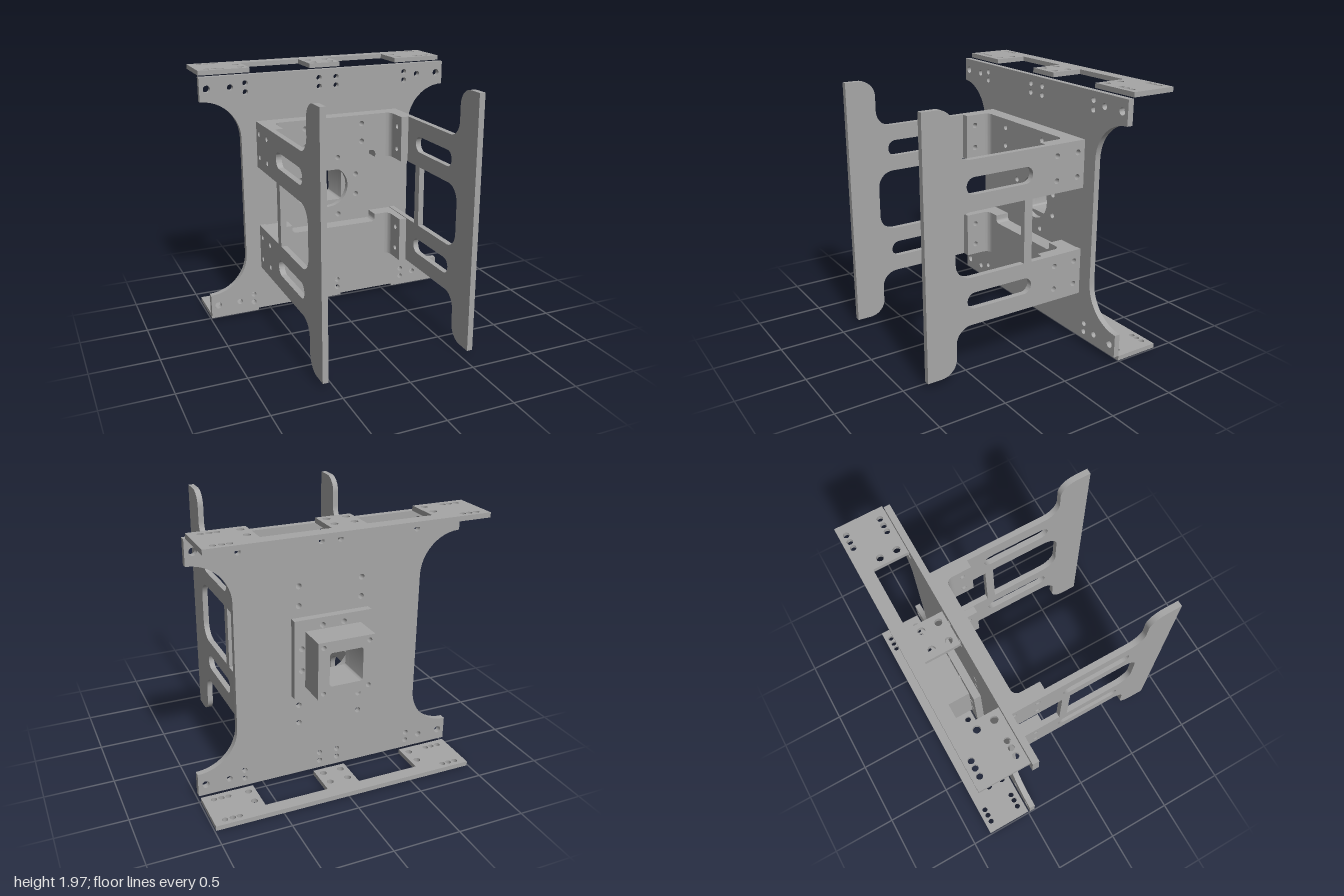
import * as THREE from 'three';
import { toCreasedNormals } from 'three/addons/utils/BufferGeometryUtils.js';

const MID = 0.985; // height of the horizontal symmetry plane
const grey = new THREE.MeshStandardMaterial({ color: 0xa6a6a6 });
grey.name = 'machined grey';

// Traces a polygon of [x, y, radius?] corners; right-angled corners may be rounded.
function trace(path, pts) {
  const n = pts.length, k = 0.4477;
  pts.forEach(([x, y, r = 0], i) => {
    const toward = (q) => {
      const l = Math.hypot(q[0] - x, q[1] - y);
      return [(q[0] - x) / l, (q[1] - y) / l];
    };
    const a = toward(pts[(i + n - 1) % n]), b = toward(pts[(i + 1) % n]);
    const sx = x + a[0] * r, sy = y + a[1] * r;
    if (i === 0) path.moveTo(sx, sy); else path.lineTo(sx, sy);
    if (r) path.bezierCurveTo(x + a[0] * r * k, y + a[1] * r * k,
      x + b[0] * r * k, y + b[1] * r * k, x + b[0] * r, y + b[1] * r);
  });
  path.closePath();
  return path;
}
const box = (x0, y0, x1, y1, r = 0) => [[x0, y0, r], [x1, y0, r], [x1, y1, r], [x0, y1, r]];
const cut = (...a) => trace(new THREE.Path(), box(...a));
const drill = (x, y, r) => new THREE.Path().absarc(x, y, r, 0, Math.PI * 2, true);

// Extrudes a drilled outline; plane 'xy' grows to +z, 'zy' (-z, y) to +x, 'xz' (x, -z) to +y.
function plate(name, pts, holes, start, depth, plane = 'xy') {
  const shape = trace(new THREE.Shape(), pts);
  shape.holes.push(...holes);
  let g = new THREE.ExtrudeGeometry(shape, { depth, bevelEnabled: false, curveSegments: 12 });
  g.translate(0, 0, start);
  if (plane === 'zy') g.rotateY(Math.PI / 2);
  if (plane === 'xz') g.rotateX(-Math.PI / 2);
  g = toCreasedNormals(g, 0.5);
  const mesh = new THREE.Mesh(g, grey);
  mesh.name = name;
  return mesh;
}

// Holes mirrored in x, and in y about a centre height
const drill4 = (x, dy, r, mid = MID) =>
  [[x, dy], [x, -dy], [-x, dy], [-x, -dy]].map(([a, b]) => drill(a, mid + b, r));

export function createModel() {
  const model = new THREE.Group();
  model.name = 'bracketFrame';

  // Back plate with scooped sides
  const backOutline = [
    [-1, 0.045], [1, 0.045], [1, 0.22], [0.7, 0.22, 0.299], [0.7, 1.75, 0.299], [1, 1.75],
    [1, 1.93], [-1, 1.93], [-1, 1.75], [-0.7, 1.75, 0.299], [-0.7, 0.22, 0.299], [-1, 0.22],
  ];
  const flangeHoles = () => [...drill4(0.235, 0.083, 0.021), ...drill4(0.08, 0.237, 0.021)];
  model.add(plate('backPlate', backOutline, [
    drill(0, MID, 0.165), ...flangeHoles(),
    ...drill4(0.945, 0.857, 0.027), ...drill4(0.77, 0.857, 0.023),
    ...drill4(0.655, 0.882, 0.021), ...drill4(0.655, 0.815, 0.021),
    ...drill4(0.07, 0.882, 0.021), ...drill4(0.07, 0.815, 0.021),
    ...drill4(0.235, 0.38, 0.021), ...drill4(0.235, 0.522, 0.021),
  ], -0.49, 0.045));

  // Rear socket: flange and hollow square block
  model.add(plate('socketFlange', box(-0.29, 0.69, 0.29, 1.28),
    [cut(-0.125, 0.86, 0.125, 1.11, 0.02), ...flangeHoles()], -0.545, 0.055));
  model.add(plate('socketBlock', box(-0.21, 0.775, 0.21, 1.195),
    [cut(-0.125, 0.86, 0.125, 1.11, 0.02), ...drill4(0.17, 0.17, 0.018)], -0.76, 0.215));

  // Top and bottom rails, each with two open notches
  const railOutline = [
    [-0.99, 0.5], [-0.6, 0.5], [-0.6, 0.755], [-0.125, 0.755], [-0.125, 0.505],
    [0.125, 0.505], [0.125, 0.755], [0.6, 0.755], [0.6, 0.5], [0.99, 0.5],
    [0.99, 0.85], [-0.99, 0.85],
  ];
  for (const [name, y] of [['bottomRail', 0], ['topRail', 1.935]]) {
    const holes = [];
    for (const s of [-1, 1]) {
      for (const x of [0.805, 0.855, 0.91])
        for (const v of [0.555, 0.8]) holes.push(drill(s * x, v, 0.021));
      for (const x of [0.07, 0.655])
        for (const v of [0.56, 0.68]) holes.push(drill(s * x, v, 0.025));
    }
    model.add(plate(name, railOutline, holes, y, 0.035, 'xz'));
  }

  // Side plates with slots, window and a notch at the back
  const sideOutline = [
    [-0.85, 0.045], [-0.62, 0.045, 0.12], [-0.62, 0.395, 0.12], [0.45, 0.395],
    [0.45, 0.75], [0, 0.75], [0, 1.22], [0.45, 1.22],
    [0.45, 1.575], [-0.62, 1.575, 0.12], [-0.62, 1.925, 0.12], [-0.85, 1.925],
  ];
  for (const [name, x] of [['leftSidePlate', 0.54], ['rightSidePlate', -0.583]]) {
    const holes = [cut(-0.53, 1.335, 0, 1.455, 0.0599), cut(-0.53, 0.515, 0, 0.635, 0.0599)];
    const window = trace(new THREE.Path(),
      [[-0.62, 0.75, 0.12], [-0.065, 0.75], [-0.065, 1.22], [-0.62, 1.22, 0.12]]);
    holes.push(window);
    for (const y of [0.485, 0.665, 1.31, 1.49])
      for (const u of [0.205, 0.385]) holes.push(drill(u, y, 0.021));
    model.add(plate(name, sideOutline, holes, x, 0.043, 'zy'));
  }

  // U-shaped brackets joining the side plates to the back plate
  for (const s of [1, -1]) {
    const bracket = new THREE.Group();
    bracket.name = s > 0 ? 'upperBracket' : 'lowerBracket';
    const Y = (d) => MID + s * d;
    bracket.add(plate('bracketWeb', [
      [-0.54, Y(0.24)], [-0.355, Y(0.24)], [-0.355, Y(0.3), 0.03], [0.355, Y(0.3), 0.03],
      [0.355, Y(0.24)], [0.54, Y(0.24)], [0.54, Y(0.59)], [-0.54, Y(0.59)],
    ], [-0.235, 0.235].flatMap((x) => [0.38, 0.522].map((d) => drill(x, Y(d), 0.021))),
    -0.445, 0.115));
    const low = Math.min(Y(0.24), Y(0.59));
    for (const side of [1, -1]) {
      bracket.add(plate('bracketArm', box(0.13, low, 0.33, low + 0.35),
        [drill(0.205, Y(0.325), 0.021), drill(0.205, Y(0.505), 0.021)],
        side > 0 ? 0.48 : -0.54, 0.06, 'zy'));
      // Rounded inside corner
      const fillet = new THREE.Shape();
      fillet.moveTo(side * 0.48, 0.33);
      fillet.lineTo(side * 0.48, 0.28);
      fillet.quadraticCurveTo(side * 0.477, 0.327, side * 0.43, 0.33);
      const g = new THREE.ExtrudeGeometry(fillet, { depth: 0.35, bevelEnabled: false, curveSegments: 8 });
      g.translate(0, 0, low).rotateX(-Math.PI / 2);
      const mesh = new THREE.Mesh(toCreasedNormals(g, 0.5), grey);
      mesh.name = 'bracketFillet';
      bracket.add(mesh);
    }
    model.add(bracket);
  }
  return model;
}
